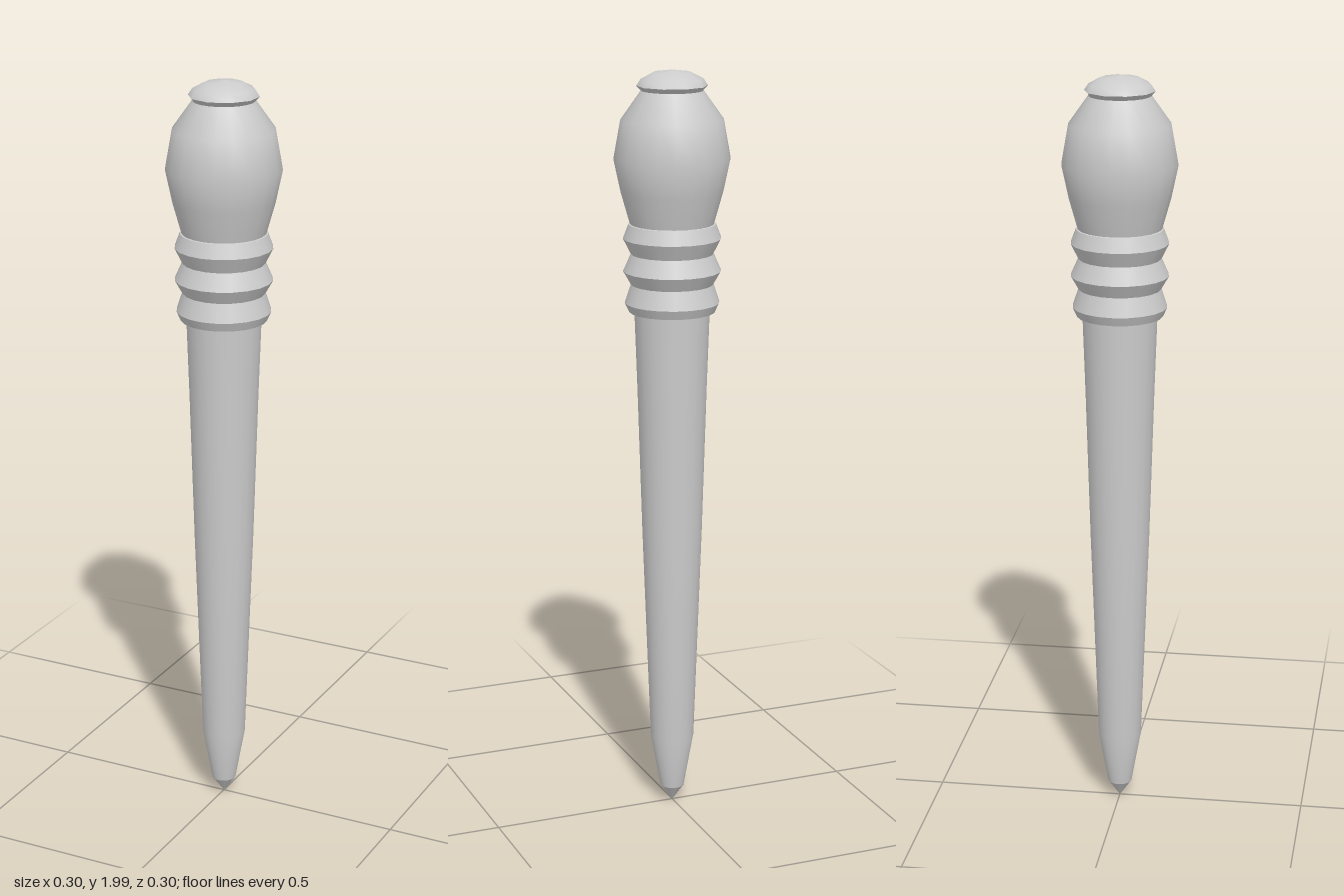
import * as THREE from 'three';

export function createModel() {
  const model = new THREE.Group();
  const grey = new THREE.MeshStandardMaterial({ color: 0xcccccc, side: THREE.DoubleSide });
  grey.name = 'light grey';

  // Turned part from [radius, height] pairs, listed bottom to top
  function turned(name, profile, sides, parent = model) {
    const points = profile.map(([r, y]) => new THREE.Vector2(r, y));
    const mesh = new THREE.Mesh(new THREE.LatheGeometry(points, sides), grey);
    mesh.name = name;
    parent.add(mesh);
    return mesh;
  }

  // Tapered shaft with a blunt point
  turned('tip', [[0, 0.01], [0.032, 0.055]], 20);
  turned('shaft', [[0.032, 0.055], [0.058, 0.2], [0.079, 0.78], [0.091, 1.18], [0.098, 1.38]], 20);

  // Collar of three ridges; each slope is its own band to keep the edges sharp
  const collar = new THREE.Group();
  collar.name = 'collar';
  model.add(collar);
  const ridges = [
    [0.096, 1.378], [0.112, 1.378], [0.123, 1.402], [0.107, 1.45], [0.127, 1.485],
    [0.107, 1.53], [0.127, 1.57], [0.113, 1.607], [0.1, 1.61],
  ];
  for (let i = 0; i < ridges.length - 1; i++) {
    turned('collarBand' + (i + 1), [ridges[i], ridges[i + 1]], 20, collar);
  }

  // Bulbous handle
  turned('handle', [
    [0.108, 1.605], [0.132, 1.69], [0.15, 1.775], [0.132, 1.875], [0.08, 1.948],
  ], 20);

  // Rounded end cap
  turned('capRim', [[0.076, 1.944], [0.091, 1.96]], 10);
  turned('cap', [[0.091, 1.96], [0.08, 1.977], [0.05, 1.993], [0, 2]], 10);

  return model;
}
